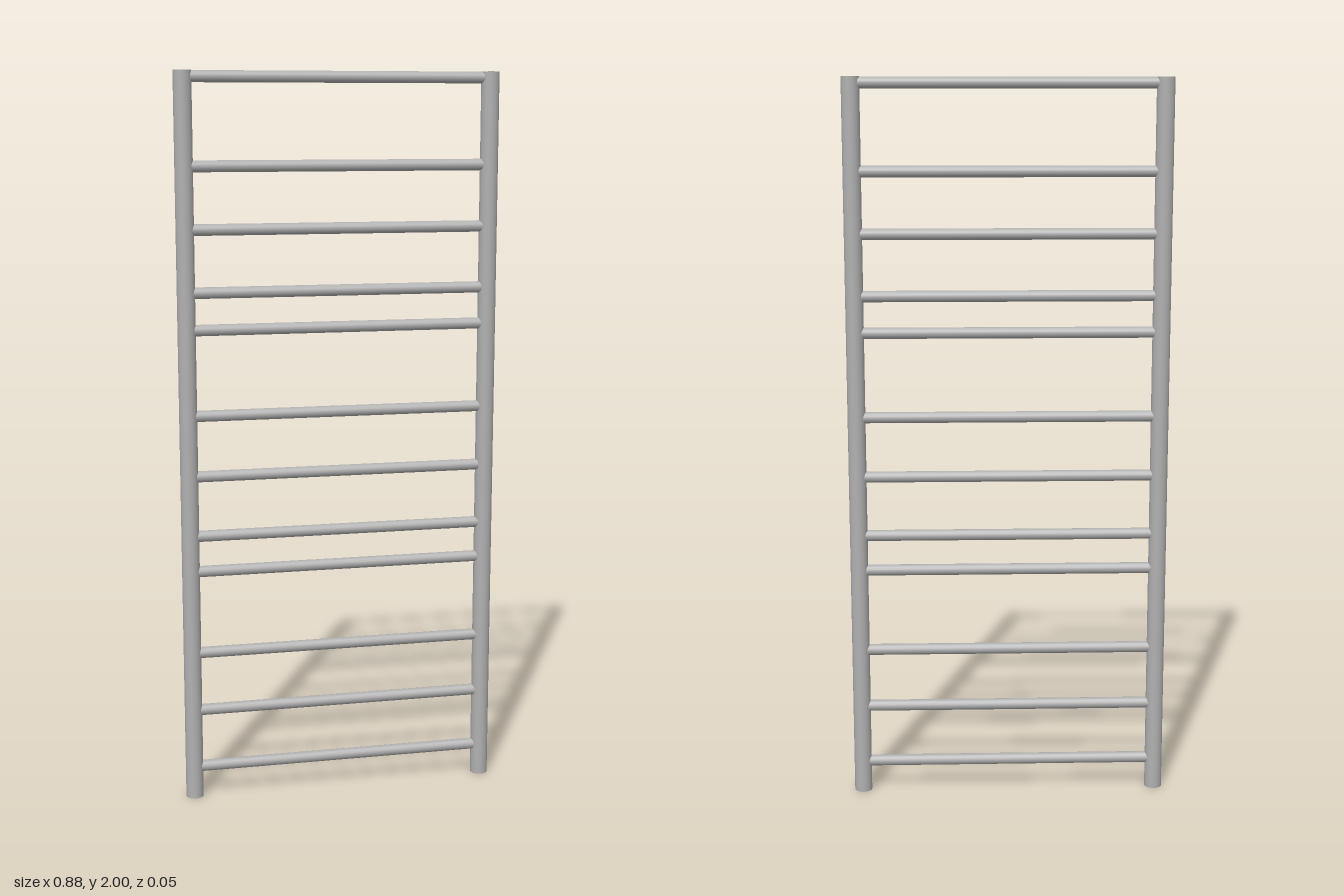
import * as THREE from 'three';

const POST_X = 0.417, POST_R = 0.0245, RUNG_R = 0.0155;
const RUNG_HEIGHTS = [
  0.087, 0.253, 0.42, 0.653, 0.753, 0.92,
  1.087, 1.32, 1.42, 1.587, 1.753, 1.984,
];

export function createModel() {
  const model = new THREE.Group();
  model.name = 'ladderRail';
  const steel = new THREE.MeshStandardMaterial({ color: 0xb0b0b0 });
  steel.name = 'brushed steel';

  // Two upright posts, mirrored about the centre
  const postGeometry = new THREE.CylinderGeometry(POST_R, POST_R, 2, 24);
  for (const side of [-1, 1]) {
    const post = new THREE.Mesh(postGeometry, steel);
    post.name = side > 0 ? 'leftPost' : 'rightPost';
    post.position.set(side * POST_X, 1, 0);
    model.add(post);
  }

  // Horizontal rungs, with their ends sunk into the posts
  const rungGeometry = new THREE.CylinderGeometry(RUNG_R, RUNG_R, 2 * (POST_X - 0.012), 16);
  rungGeometry.rotateZ(Math.PI / 2);
  RUNG_HEIGHTS.forEach((y, i) => {
    const rung = new THREE.Mesh(rungGeometry, steel);
    rung.name = `rung${i + 1}`;
    rung.position.y = y;
    model.add(rung);
  });

  return model;
}
